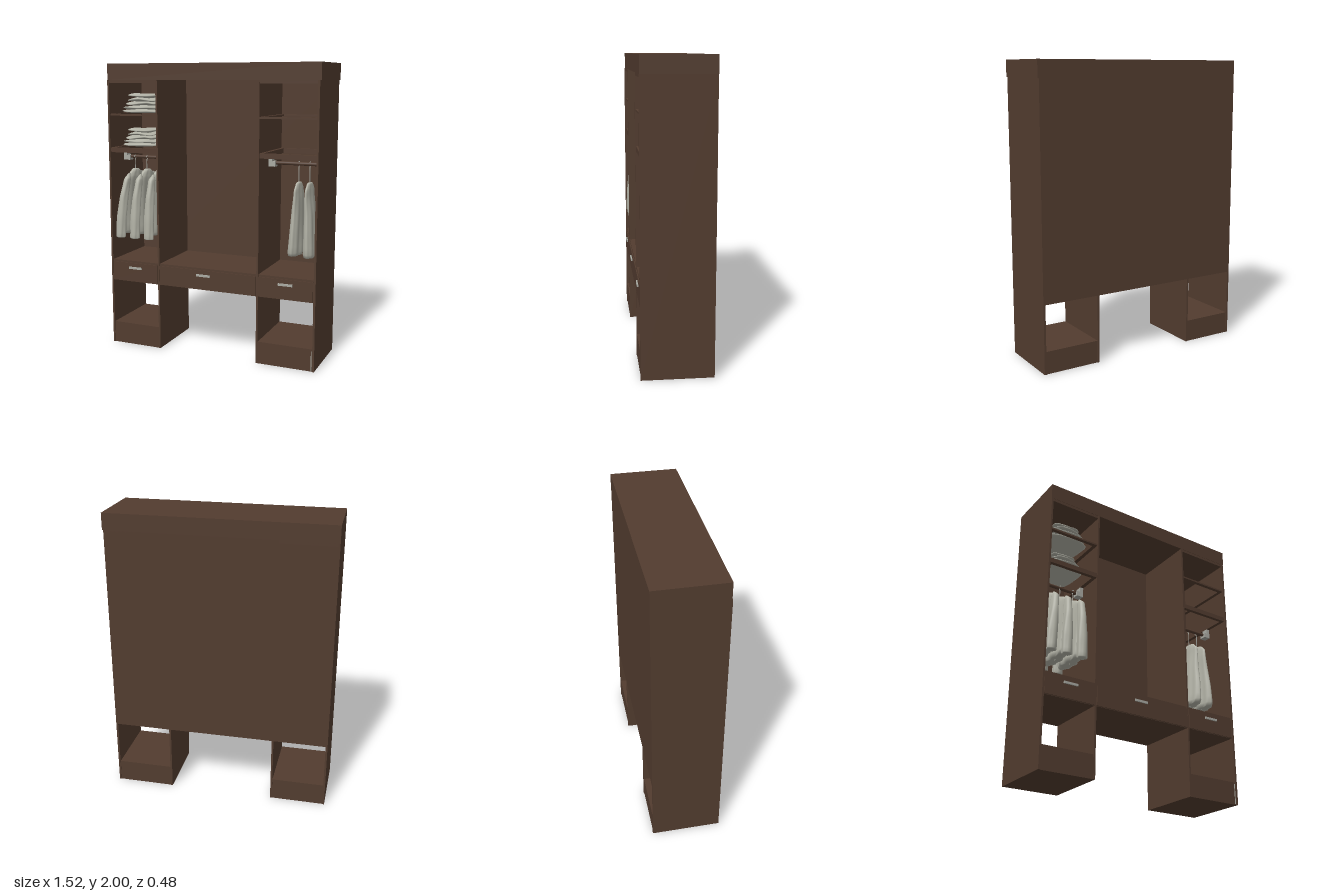
import * as THREE from 'three';

export function createModel() {
  const root = new THREE.Group();
  const wood = new THREE.MeshStandardMaterial({ color: 0x523c2f });
  wood.name = 'dark wood';
  const metal = new THREE.MeshStandardMaterial({ color: 0xa9aaa2 });
  metal.name = 'satin metal';
  const fabric = new THREE.MeshStandardMaterial({ color: 0xb3b3a7, side: THREE.DoubleSide });
  fabric.name = 'pale fabric';

  const add = (name, geometry, material, parent = root) => {
    const mesh = new THREE.Mesh(geometry, material);
    mesh.name = name;
    parent.add(mesh);
    return mesh;
  };
  // Box given by its minimum and maximum on each axis
  const box = (name, x0, x1, y0, y1, z0, z1, material = wood) =>
    add(name, new THREE.BoxGeometry(x1 - x0, y1 - y0, z1 - z0), material)
      .position.set((x0 + x1) / 2, (y0 + y1) / 2, (z0 + z1) / 2);

  // Closed skin through rings; point(t, a) gives [x, y, z]
  const loft = (rows, cols, point) => {
    const pos = [], idx = [];
    for (let i = 0; i <= rows; i++)
      for (let j = 0; j < cols; j++) pos.push(...point(i / rows, (j / cols) * Math.PI * 2));
    for (let i = 0; i < rows; i++)
      for (let j = 0; j < cols; j++) {
        const a = i * cols + j, b = i * cols + ((j + 1) % cols);
        idx.push(a, a + cols, b, b, a + cols, b + cols);
      }
    const g = new THREE.BufferGeometry();
    g.setAttribute('position', new THREE.Float32BufferAttribute(pos, 3));
    g.setIndex(idx);
    g.computeVertexNormals();
    return g;
  };
  const mix = THREE.MathUtils.lerp;
  const BACK = -0.24, FRONT = 0.225;

  // Carcass
  box('crown', -0.765, 0.76, 1.888, 2, BACK, FRONT);
  box('backPanel', -0.755, 0.74, 0.467, 1.888, BACK, BACK + 0.012);
  box('leftEndPanel', 0.738, 0.752, 0, 1.888, BACK, FRONT + 0.004);
  box('rightEndPanel', -0.765, -0.752, 0, 1.888, BACK, FRONT + 0.004);
  box('rightDivider', -0.393, -0.38, 0, 1.888, BACK, FRONT);
  box('leftDivider', 0.343, 0.356, 0, 1.888, BACK, FRONT);
  box('plinthEdgeStrip', 0.729, 0.734, 0.005, 0.14, FRONT, FRONT + 0.003, metal);

  // Drawer row, the floor of the three bays
  box('drawerRow', -0.755, 0.74, 0.467, 0.619, BACK, FRONT - 0.004);
  [[-0.75, -0.395, -0.57], [-0.377, 0.34, -0.042], [0.358, 0.733, 0.547]].forEach(([a, b, handle]) => {
    box('drawerFront', a, b, 0.47, 0.605, FRONT - 0.004, FRONT + 0.003);
    box('drawerHandle', handle - 0.05, handle + 0.05, 0.562, 0.577, FRONT + 0.003, 0.237, metal);
  });

  // Shelf as a wooden frame with an open middle
  const frameShelf = (name, x0, x1, y, thick) => {
    const w = x1 - x0, d = FRONT - BACK - 0.02, m = 0.025;
    const s = new THREE.Shape();
    s.moveTo(0, 0).lineTo(w, 0).lineTo(w, d).lineTo(0, d).closePath();
    const h = new THREE.Path();
    h.moveTo(m, m).lineTo(m, d - m).lineTo(w - m, d - m).lineTo(w - m, m).closePath();
    s.holes.push(h);
    const g = new THREE.ExtrudeGeometry(s, { depth: thick, bevelEnabled: false });
    g.rotateX(-Math.PI / 2);
    add(name, g, wood).position.set(x0, y, FRONT - 0.005);
  };

  // Both wardrobe bays
  [[-0.752, -0.393], [0.356, 0.738]].forEach(([x0, x1]) => {
    box('plinth', x0, x1, 0, 0.153, BACK + 0.004, FRONT - 0.002);
    box('bayTop', x0, x1, 1.868, 1.888, BACK, FRONT - 0.002);
    frameShelf('upperShelf', x0, x1, 1.645, 0.012);
    frameShelf('lowerShelf', x0, x1, 1.39, 0.033);
    const rod = add('hangingRod', new THREE.CylinderGeometry(0.012, 0.012, x1 - x0 - 0.02, 16), wood);
    rod.rotation.z = Math.PI / 2;
    rod.position.set((x0 + x1) / 2, 1.345, 0.02);
    [[x0, 1], [x1, -1]].forEach(([x, s]) => {
      const span = (name, len, top) => box(name, Math.min(x, x + s * len), Math.max(x, x + s * len), 1.32, top, -0.005, 0.045, metal);
      span('rodBracket', 0.025, 1.39);
      span('rodCup', 0.048, 1.355);
    });
  });

  // Stacks of folded clothes: flattened, wavy layers
  const stack = (x, y, width, height, layers) => {
    const group = new THREE.Group();
    group.name = 'foldedClothes';
    const h = height / layers;
    for (let k = 0; k < layers; k++) {
      const rx = (width / 2) * (1 - 0.07 * k - 0.03 * Math.sin(k * 5)), rz = 0.13 - 0.006 * k;
      const g = loft(8, 32, (t, a) => {
        const r = Math.pow(Math.sin(Math.PI * t), 0.45) * (1 + 0.025 * Math.sin(5 * a + k * 2));
        const sq = v => Math.sign(v) * Math.pow(Math.abs(v), 0.45);
        const px = rx * r * sq(Math.cos(a)), pz = rz * r * sq(Math.sin(a));
        const wave = 0.007 * Math.sin(px * 28 + k * 1.7) * Math.sin(pz * 20 + k) * (k ? 1 : t);
        return [px, h * t * 1.15 + wave, pz];
      });
      const mesh = add('foldedGarment', g, fabric, group);
      mesh.position.set(0.014 * Math.sin(k * 3.1), k * h, 0);
      mesh.rotation.y = 0.05 * Math.sin(k * 4.3);
    }
    group.position.set(x, y, 0.03);
    root.add(group);
  };
  stack(-0.57, 1.657, 0.29, 0.135, 5);
  stack(-0.585, 1.424, 0.26, 0.125, 5);

  // Hanging cloth: profile rows are [height, half x, half z, centre x, centre z]
  const cloth = (name, rows, folds, parent) => {
    const g = loft(24, 40, (t, a) => {
      const f = Math.min(t * (rows.length - 1), rows.length - 1.0001), i = Math.floor(f);
      const [y, rx, rz, cx, cz] = rows[i].map((v, n) => mix(v, rows[i + 1][n], f - i));
      const r = 1 + 0.16 * (1 - t) * Math.sin(folds * a + 3 * t) + 0.04 * Math.sin(3 * a + 14 * t);
      return [cx + rx * r * Math.cos(a), y, cz + rz * (0.9 + 0.1 * r) * Math.sin(a)];
    });
    add(name, g, fabric, parent);
  };
  const hook = (parent, y0, y1) => {
    const curve = new THREE.CatmullRomCurve3([[0, y0, 0], [0, y1 - 0.03, 0], [0, y1 - 0.01, -0.015],
      [0, y1, 0], [0, y1 - 0.012, 0.014]].map(p => new THREE.Vector3(...p)));
    add('hangerHook', new THREE.TubeGeometry(curve, 20, 0.003, 6), metal, parent);
  };

  // Jackets on the rod, shoulders front to back
  [[-0.665, -0.03], [-0.57, -0.015], [-0.47, -0.005]].forEach(([x, lean]) => {
    const jacket = new THREE.Group();
    jacket.name = 'jacket';
    cloth('jacketBody', [[0.8, 0.002, 0.01, lean, 0], [0.8, 0.045, 0.135, lean, 0], [0.95, 0.036, 0.13, lean * 0.7, 0],
      [1.1, 0.03, 0.13, lean * 0.3, 0], [1.2, 0.026, 0.125, 0, 0], [1.245, 0.022, 0.06, 0, 0],
      [1.26, 0.016, 0.03, 0, 0], [1.26, 0.001, 0.001, 0, 0]], 9, jacket);
    [1, -1].forEach(s => cloth('sleeve', [[0.78, 0.001, 0.001, lean * 1.2, s * 0.16], [0.78, 0.034, 0.03, lean * 1.2, s * 0.16],
      [0.92, 0.034, 0.034, lean, s * 0.155], [1.08, 0.028, 0.035, lean * 0.5, s * 0.14],
      [1.2, 0.022, 0.03, 0, s * 0.115], [1.235, 0.004, 0.01, 0, s * 0.09]], 5, jacket));
    hook(jacket, 1.25, 1.355);
    jacket.position.set(x, 0, 0.035);
    root.add(jacket);
  });

  // Dresses in the opposite bay
  [[0.56, -0.012, 0.735], [0.635, 0.02, 0.73]].forEach(([x, lean, hem]) => {
    const dress = new THREE.Group();
    dress.name = 'dress';
    cloth('dressBody', [[hem, 0.002, 0.01, lean, 0], [hem, 0.044, 0.12, lean, 0], [0.88, 0.037, 0.115, lean * 0.7, 0],
      [1.02, 0.03, 0.1, lean * 0.4, 0], [1.12, 0.023, 0.095, 0, 0], [1.18, 0.018, 0.09, 0, 0],
      [1.22, 0.012, 0.05, 0, 0], [1.225, 0.001, 0.002, 0, 0]], 9, dress);
    hook(dress, 1.21, 1.36);
    dress.position.set(x, 0, 0.01);
    root.add(dress);
  });

  return root;
}
